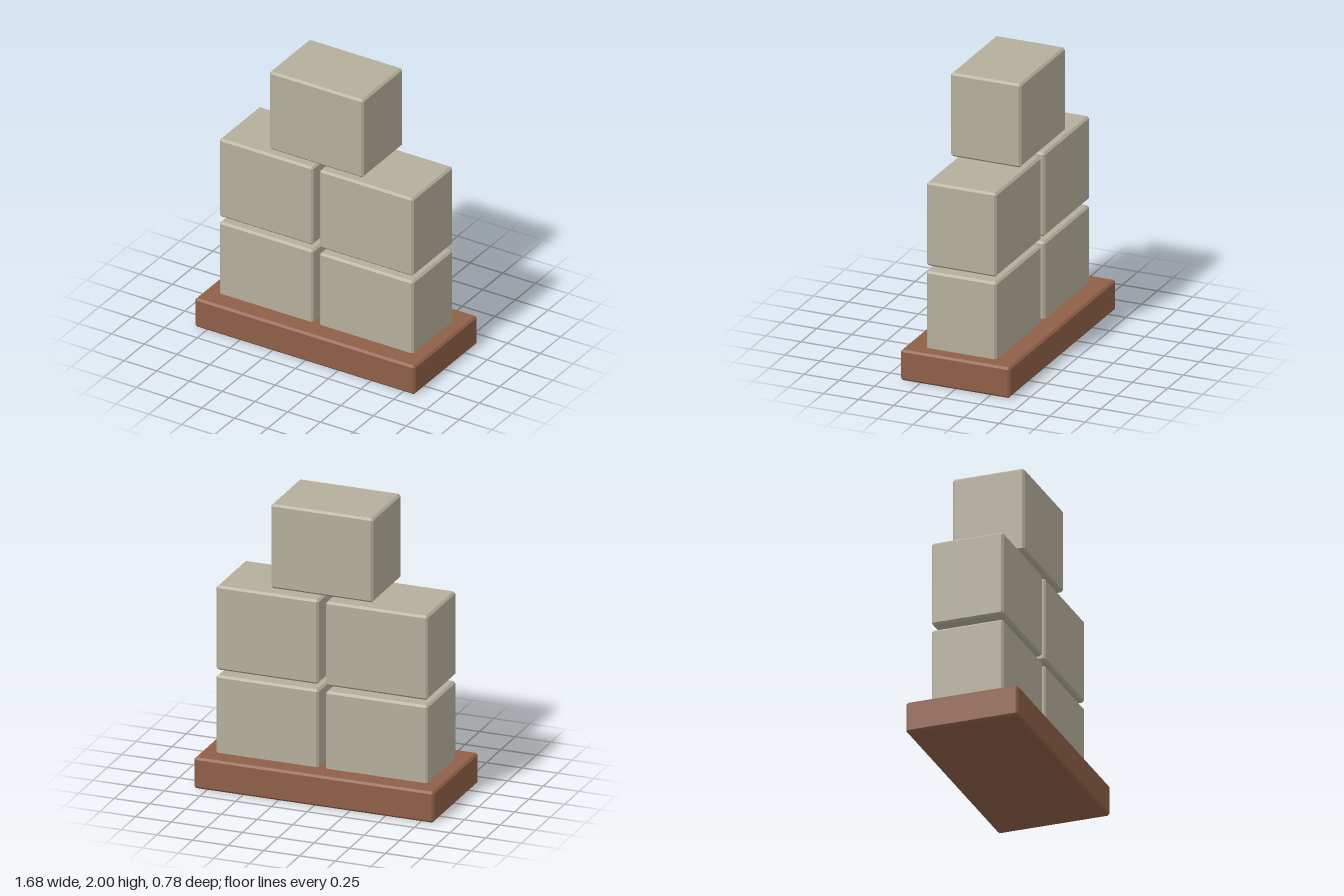
import * as THREE from 'three';
import { ConvexGeometry } from 'three/addons/geometries/ConvexGeometry.js';

// Box with a flat chamfer along every edge
function chamferedBox(w, h, d, c) {
  const points = [];
  for (const x of [-1, 1]) for (const y of [-1, 1]) for (const z of [-1, 1]) {
    for (let axis = 0; axis < 3; axis++) {
      const inset = [c, c, c];
      inset[axis] = 0;
      points.push(new THREE.Vector3(
        x * (w / 2 - inset[0]), y * (h / 2 - inset[1]), z * (d / 2 - inset[2])));
    }
  }
  return new ConvexGeometry(points);
}

export function createModel() {
  const model = new THREE.Group();
  model.name = 'blockStack';

  const stone = new THREE.MeshStandardMaterial({ color: 0xb5af9b });
  stone.name = 'stone';
  const clay = new THREE.MeshStandardMaterial({ color: 0x8f5f47 });
  clay.name = 'clay';

  function add(name, geometry, material, x, y) {
    const mesh = new THREE.Mesh(geometry, material);
    mesh.name = name;
    mesh.position.set(x, y, 0);
    model.add(mesh);
  }

  // Base slab
  add('base', chamferedBox(1.68, 0.215, 0.78, 0.014), clay, 0, 0.1075);

  // Two rows of paired blocks, with a single block on top
  const block = chamferedBox(0.716, 0.586, 0.5, 0.014);
  const names = ['lower', 'middle'];
  names.forEach((row, i) => {
    const y = 0.459 + i * 0.624;
    add(row + 'RightBlock', block, stone, -0.382, y);
    add(row + 'LeftBlock', block, stone, 0.382, y);
  });
  add('topBlock', block, stone, 0, 1.707);

  return model;
}
